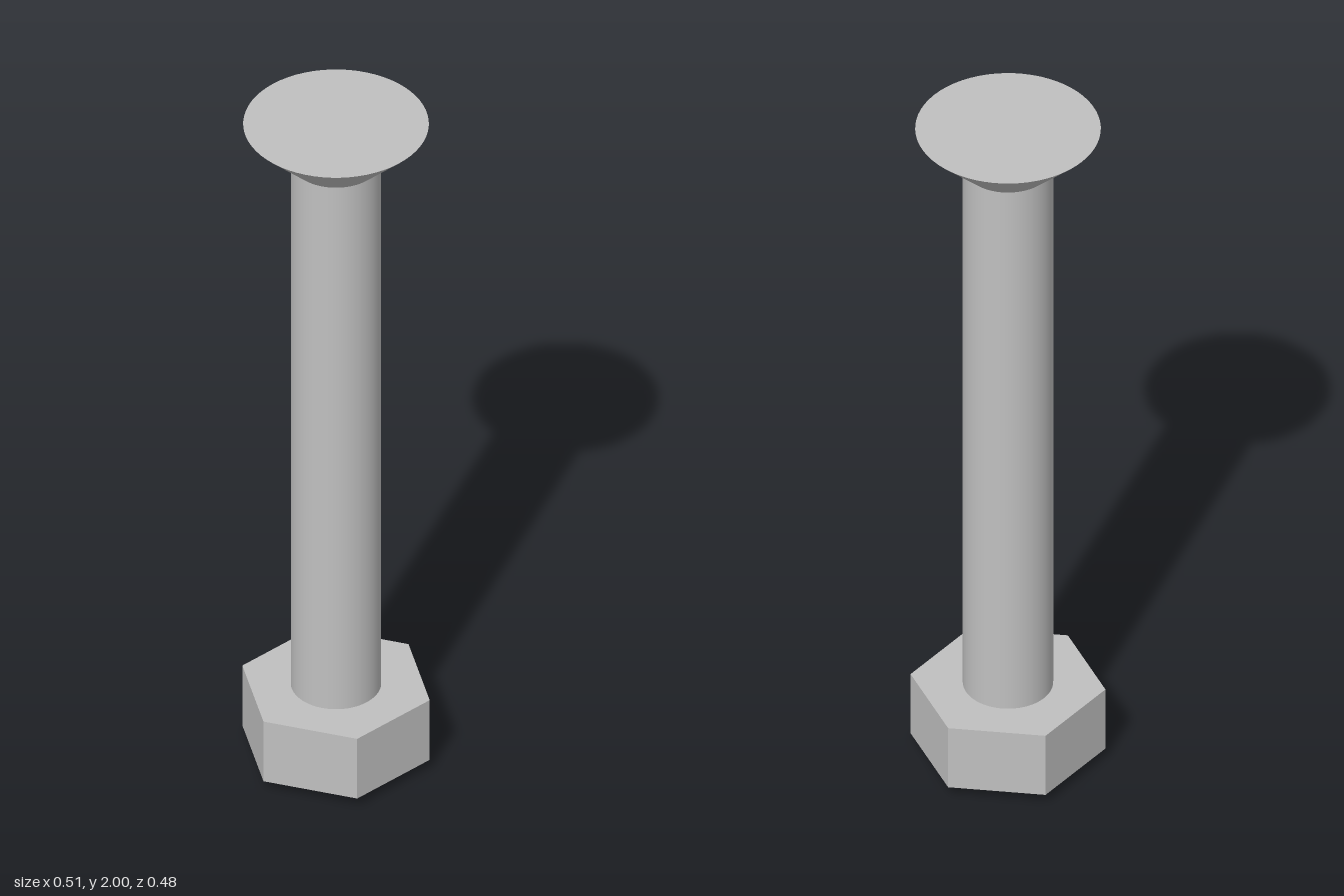
import * as THREE from 'three';

const SHAFT_R = 0.117, HEAD_R = 0.24, NUT_R = 0.254;
const HEAD_Y = 1.88, TOP_Y = 2, NUT_Y0 = 0.03, NUT_Y1 = 0.22;

export function createModel() {
  const steel = new THREE.MeshStandardMaterial({ color: 0xc0c0c0 });
  steel.name = 'steel';
  const bolt = new THREE.Group();
  bolt.name = 'countersunkBolt';

  const add = (name, geometry, y) => {
    const mesh = new THREE.Mesh(geometry, steel);
    mesh.name = name;
    mesh.position.y = y;
    bolt.add(mesh);
  };

  // Plain round shaft, passing through the nut
  add('shaft', new THREE.CylinderGeometry(SHAFT_R, SHAFT_R, HEAD_Y, 64), HEAD_Y / 2);

  // Flat-topped conical head
  add('head', new THREE.CylinderGeometry(HEAD_R, SHAFT_R, TOP_Y - HEAD_Y, 64), (TOP_Y + HEAD_Y) / 2);

  // Hexagonal nut with corners on the x axis and a hole for the shaft
  const hexagon = new THREE.Shape();
  for (let i = 0; i < 6; i++) {
    const a = (i * Math.PI) / 3;
    hexagon[i ? 'lineTo' : 'moveTo'](NUT_R * Math.cos(a), NUT_R * Math.sin(a));
  }
  hexagon.closePath();
  hexagon.holes.push(new THREE.Path().absarc(0, 0, SHAFT_R - 0.002, 0, Math.PI * 2, true));
  const nut = new THREE.ExtrudeGeometry(hexagon, {
    depth: NUT_Y1 - NUT_Y0, bevelEnabled: false, curveSegments: 32,
  });
  nut.rotateX(-Math.PI / 2);
  add('nut', nut, NUT_Y0);

  return bolt;
}
